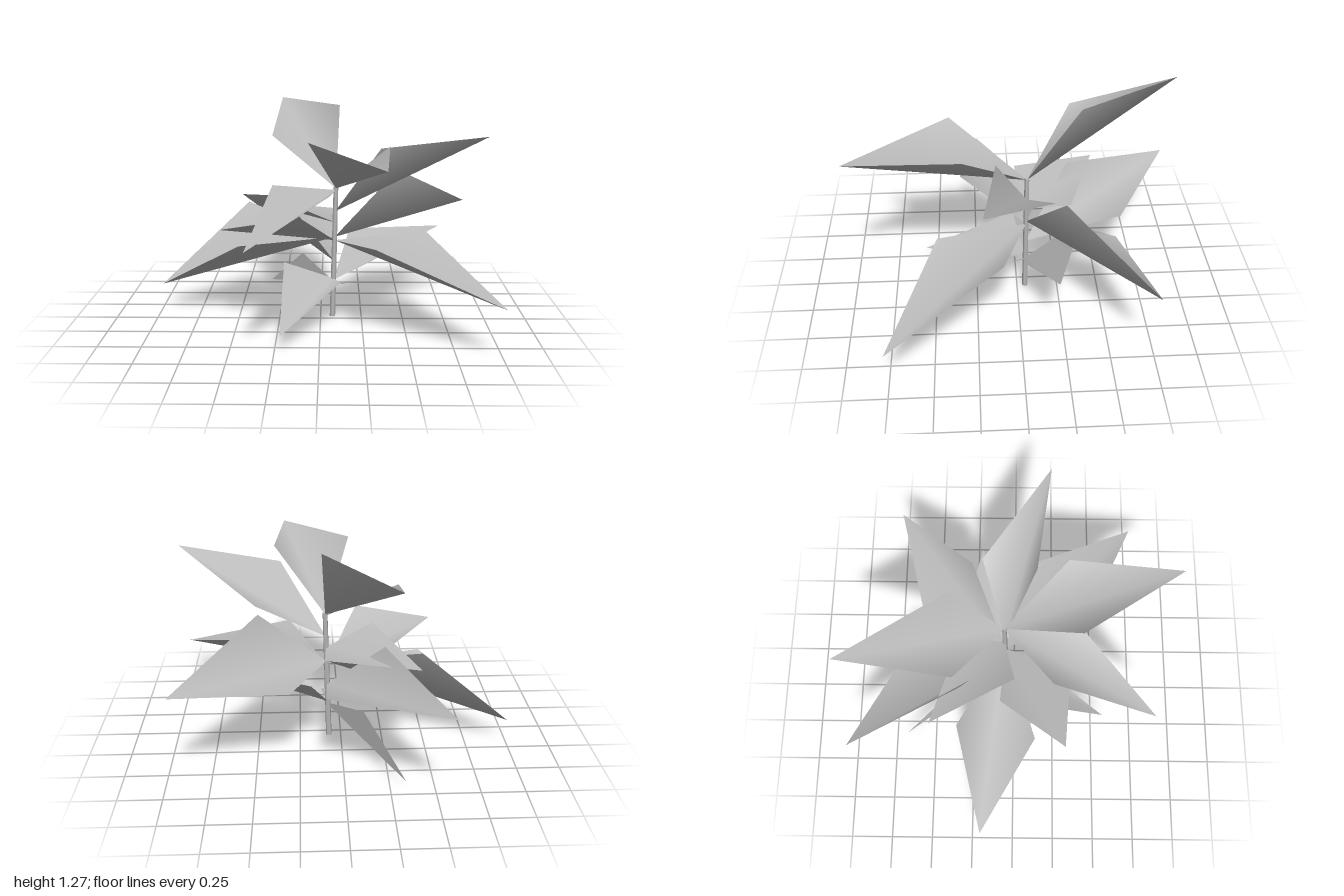
import * as THREE from 'three';

const gray = new THREE.MeshStandardMaterial({ color: 0xbbbbbb, side: THREE.DoubleSide });
gray.name = 'plain gray';

// The stem leans slightly; every leaf grows from it at a given height
const stemHeight = 0.81;
const stemAt = (y) => new THREE.Vector3(0.073 + 0.023 * y, y, -0.05 - 0.01 * y);

// Leaf: height on the stem, one side corner, tip, other side corner
const leaves = [
  // top tier
  [0.80, [0.115, 1.267, -0.36], [-0.27, 1.257, -0.965], [-0.305, 1.08, -0.335]],
  [0.80, [-0.065, 1.14, 0.385], [0.34, 1.085, 0.97], [0.39, 1.11, 0.31]],
  [0.66, [0.35, 1.07, 0.13], [0.955, 1.15, 0.21], [0.49, 0.906, -0.19]],
  [0.79, [-0.27, 0.875, 0.23], [-0.385, 0.64, 0.835], [0.06, 0.85, 0.41]],
  // middle tier
  [0.50, [0.475, 0.88, -0.25], [0.948, 0.593, -0.715], [0.30, 0.53, -0.56]],
  [0.59, [0.10, 0.62, -0.32], [-0.435, 0.63, -0.495], [-0.19, 0.72, 0.005]],
  [0.48, [-0.285, 0.59, -0.08], [-0.57, 0.63, 0.305], [-0.11, 0.705, 0.335]],
  [0.48, [0.31, 0.56, 0.47], [0.995, 0.31, 0.755], [0.615, 0.58, 0.10]],
  [0.50, [-0.455, 0.66, -0.33], [-0.997, 0.155, -0.20], [-0.485, 0.487, 0.13]],
  [0.35, [0.10, 0.53, -0.62], [-0.56, 0.575, -0.975], [-0.24, 0.70, -0.32]],
  // bottom tier
  [0.23, [0.28, 0.34, -0.03], [0.73, 0.54, -0.20], [0.18, 0.48, -0.36]],
  [0.22, [0.16, 0.24, 0.07], [-0.34, 0.04, -0.685], [-0.12, 0.315, -0.365]],
  [0.24, [-0.22, 0.36, 0.015], [-0.22, 0.09, 0.57], [0.12, 0.25, 0.08]],
];

// A kite folded along its midrib, with smooth normals
function leafGeometry([height, sideA, tip, sideB]) {
  const corners = [stemAt(height).toArray(), sideA, tip, sideB];
  const geometry = new THREE.BufferGeometry();
  geometry.setAttribute('position', new THREE.Float32BufferAttribute(corners.flat(), 3));
  geometry.setIndex([0, 1, 2, 0, 2, 3]);
  geometry.computeVertexNormals();
  return geometry;
}

export function createModel() {
  const model = new THREE.Group();
  model.name = 'plant';

  // Thin five-sided stem, sheared to follow its lean
  const stemGeometry = new THREE.CylinderGeometry(0.015, 0.018, stemHeight, 5);
  stemGeometry.translate(0, stemHeight / 2, 0);
  const position = stemGeometry.attributes.position;
  for (let i = 0; i < position.count; i++) {
    const centre = stemAt(position.getY(i));
    position.setX(i, position.getX(i) + centre.x);
    position.setZ(i, position.getZ(i) + centre.z);
  }
  const stem = new THREE.Mesh(stemGeometry, gray);
  stem.name = 'stem';
  model.add(stem);

  leaves.forEach((points, i) => {
    const leaf = new THREE.Mesh(leafGeometry(points), gray);
    leaf.name = `leaf${i + 1}`;
    model.add(leaf);
  });
  return model;
}
